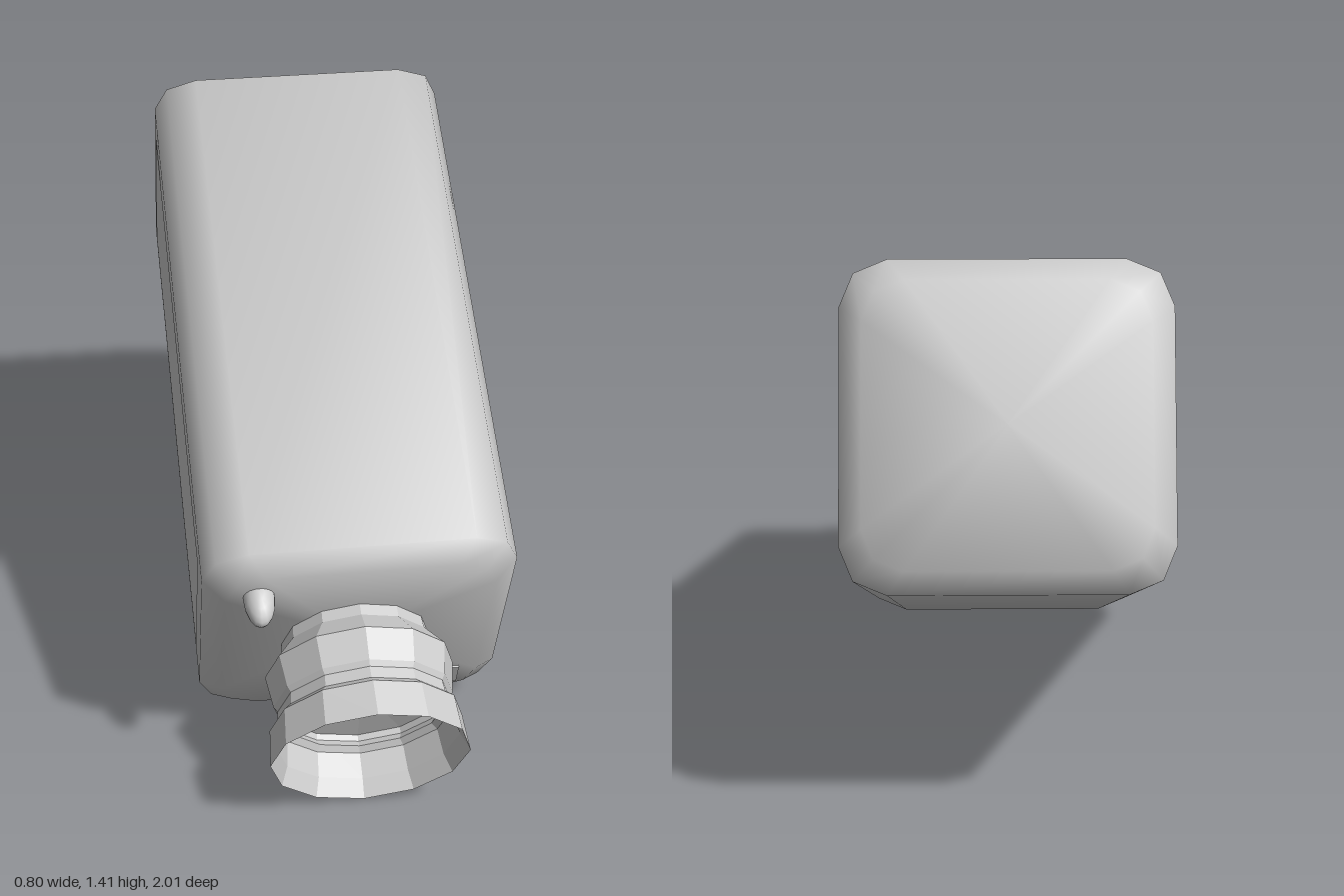
import * as THREE from 'three';

const grey = (opts = {}) => new THREE.MeshStandardMaterial({ color: 0xcccccc, ...opts });

// Box with two-step rounded edges along z, chamfered ends and soft, blended normals
function softBlock(half, depth, radius, inset, step) {
  const outline = [];
  for (let corner = 0; corner < 4; corner++) {
    const mid = Math.PI / 4 + corner * Math.PI / 2;
    const cx = Math.sign(Math.cos(mid)) * (half - radius);
    const cy = Math.sign(Math.sin(mid)) * (half - radius);
    for (const k of [-1, 0, 1]) {
      const a = mid + k * Math.PI / 4;
      const n = mid + k * Math.PI * 0.19;
      outline.push({ x: cx + radius * Math.cos(a), y: cy + radius * Math.sin(a), nx: Math.cos(n), ny: Math.sin(n) });
    }
  }
  const count = outline.length;
  const positions = [], normals = [], index = [];
  const shrink = (half - inset) / half;
  // Each ring: z, outline scale, tilt of the normal towards the end
  const rings = [
    [-depth / 2, shrink, -Math.PI / 3],
    [-depth / 2 + step, 1, -Math.PI / 6],
    [depth / 2 - step, 1, Math.PI / 6],
    [depth / 2, shrink, Math.PI / 3],
  ];
  rings.forEach(([z, s, tilt], r) => {
    outline.forEach((p, i) => {
      positions.push(p.x * s, p.y * s, z);
      normals.push(p.nx * Math.cos(tilt), p.ny * Math.cos(tilt), Math.sin(tilt));
      if (r === 0) return;
      const j = (i + 1) % count, lo = (r - 1) * count, hi = r * count;
      index.push(lo + i, lo + j, hi + j, lo + i, hi + j, hi + i);
    });
  });
  // End faces
  for (const side of [-1, 1]) {
    const centre = positions.length / 3;
    const first = side < 0 ? 0 : 3 * count;
    positions.push(0, 0, side * depth / 2);
    normals.push(0, 0, side);
    for (let i = 0; i < count; i++) {
      const a = first + i, b = first + (i + 1) % count;
      index.push(centre, ...(side < 0 ? [b, a] : [a, b]));
    }
  }
  const geometry = new THREE.BufferGeometry();
  geometry.setAttribute('position', new THREE.Float32BufferAttribute(positions, 3));
  geometry.setAttribute('normal', new THREE.Float32BufferAttribute(normals, 3));
  geometry.setIndex(index);
  return geometry;
}

export function createModel() {
  const model = new THREE.Group();
  model.name = 'securityCamera';

  // Everything sits in one frame that is tipped forward; z is the lens axis
  const tilted = new THREE.Group();
  tilted.name = 'tiltedCamera';
  tilted.rotation.x = THREE.MathUtils.degToRad(25);
  model.add(tilted);

  const add = (name, geometry, material, x, y, z) => {
    const mesh = new THREE.Mesh(geometry, material);
    mesh.name = name;
    mesh.position.set(x, y, z);
    tilted.add(mesh);
    return mesh;
  };

  // Housing
  add('housing', softBlock(0.4, 1.6, 0.115, 0.055, 0.042), grey(), 0, 0.607, -0.432);

  // Flat panels on both sides
  for (const side of [-1, 1]) {
    const panel = add(side > 0 ? 'leftPanel' : 'rightPanel', new THREE.PlaneGeometry(1.378, 0.483),
      grey(), side * 0.402, 0.608, -0.44);
    panel.rotation.y = side * Math.PI / 2;
  }

  // Lens barrel: stepped outside, sharp rim, hollow front
  const barrelProfile = [
    [0.19, 0.34], [0.195, 0.4], [0.245, 0.46], [0.232, 0.545], [0.21, 0.578],
    [0.248, 0.61], [0.256, 0.708], [0.235, 0.66], [0.22, 0.54],
  ].map(([r, u]) => new THREE.Vector2(r, u));
  const barrel = new THREE.LatheGeometry(barrelProfile, 12).rotateX(Math.PI / 2);
  add('lensBarrel', barrel, grey({ flatShading: true, side: THREE.DoubleSide }), 0, 0.593, 0);

  // Lens glass, slightly dished
  const glass = new THREE.LatheGeometry(
    [new THREE.Vector2(0.221, 0.542), new THREE.Vector2(0, 0.52)], 12).rotateX(Math.PI / 2);
  add('lensGlass', glass, grey({ flatShading: true, side: THREE.DoubleSide }), 0, 0.593, 0);

  // Indicator lamp
  const lamp = add('indicatorLamp', new THREE.SphereGeometry(0.04, 16, 10), grey(), -0.26, 0.868, 0.375);
  lamp.scale.z = 2;

  // Small plate beside the lens
  add('frontPlate', new THREE.BoxGeometry(0.13, 0.083, 0.02), grey(), 0.23, 0.342, 0.364);

  return model;
}
